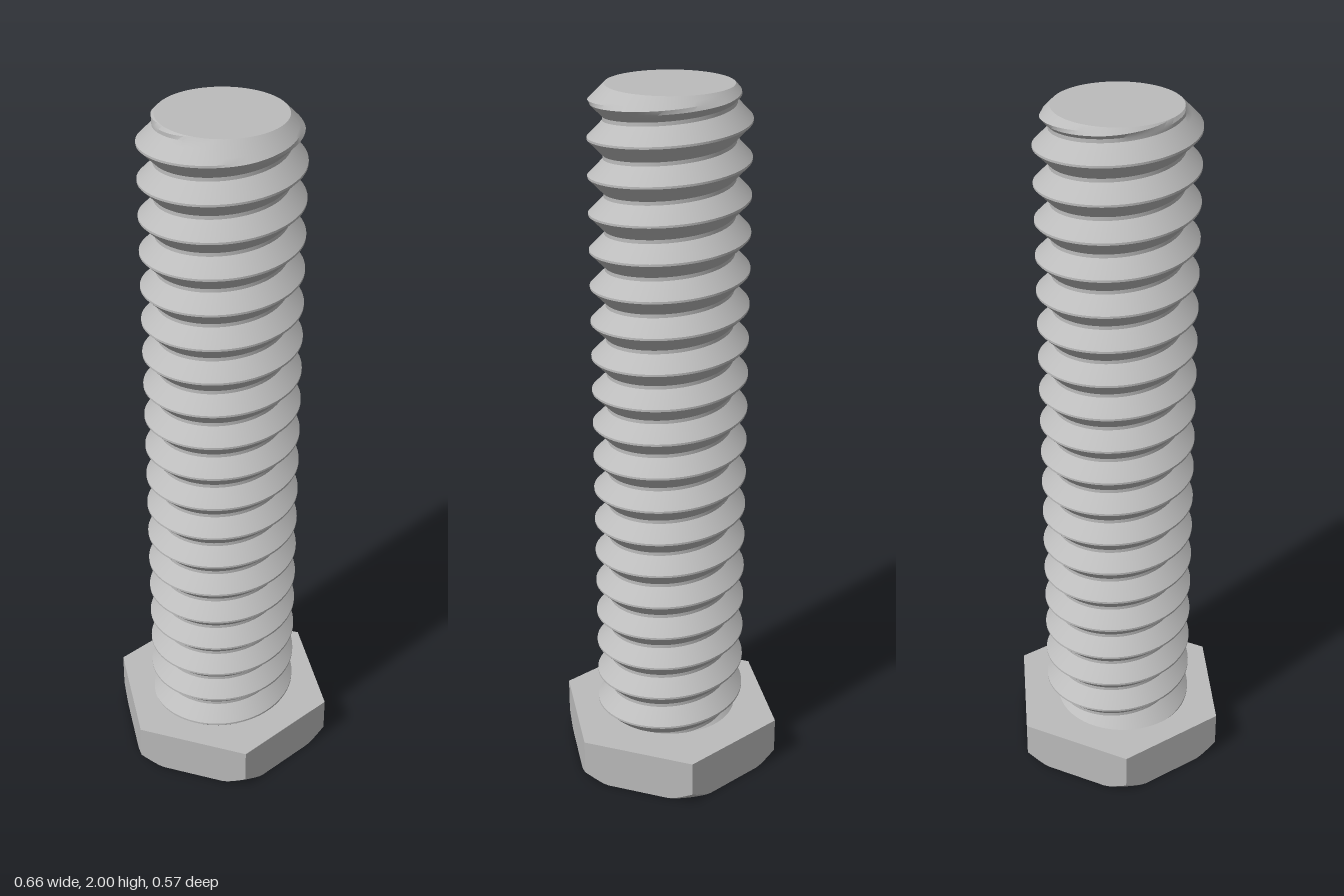
import * as THREE from 'three';
import { toCreasedNormals } from 'three/addons/utils/BufferGeometryUtils.js';

const TAU = Math.PI * 2;

// Surface through rings stacked upwards; point(row, angle) gives [radius, y]
function loft(rows, segments, point, crease) {
  const pos = [], index = [];
  for (let i = 0; i < rows; i++) {
    for (let j = 0; j <= segments; j++) {
      const a = (j / segments) * TAU;
      const [r, y] = point(i, a);
      // wrap the seam exactly
      const b = j === segments ? 0 : a;
      pos.push(r * Math.sin(b), y, r * Math.cos(b));
    }
  }
  const w = segments + 1;
  for (let i = 0; i < rows - 1; i++) {
    for (let j = 0; j < segments; j++) {
      const a = i * w + j, b = a + 1, c = a + w, d = c + 1;
      index.push(a, b, d, a, d, c);
    }
  }
  const g = new THREE.BufferGeometry();
  g.setAttribute('position', new THREE.Float32BufferAttribute(pos, 3));
  g.setIndex(index);
  return toCreasedNormals(g, crease);
}

// Hexagonal head, corners on the x axis, lower corners turned off by a cone
function headGeometry() {
  const apothem = 0.286, height = 0.135, faceRadius = 0.303;
  return loft(5, 120, (i, a) => {
    const local = ((a + Math.PI / 6) % (Math.PI / 3)) - Math.PI / 6;
    const hex = apothem / Math.cos(local);
    const cut = Math.max(0, hex - faceRadius) * 1.1;
    return [
      [0, 0],
      [Math.min(hex, faceRadius), 0],
      [hex, cut],
      [hex, height],
      [0, height],
    ][i];
  }, 0.3);
}

// Right-handed thread whose rows follow the helix, chamfered at the tip
function threadGeometry() {
  const pitch = 0.1, root = 0.174, crest = 0.215;
  const bottom = 0.13, top = 2, tip = 0.168, firstCrest = 1.963;
  const flat = 0.003, half = 0.045;
  const offsets = [-0.045, -0.034, -0.024, -0.013, -0.003, 0.003, 0.013, 0.024, 0.034, 0.045];
  const n = offsets.length, turns = 22;

  return loft(n * turns, 72, (i, a) => {
    const turn = Math.floor(i / n) - 20;
    const crestY = firstCrest + pitch * (turn + a / TAU);
    const y = THREE.MathUtils.clamp(crestY + offsets[i % n], bottom, top);
    // distance to the nearest crest at this angle
    const t = (y - crestY) / pitch;
    const d = Math.abs(t - Math.round(t)) * pitch;
    const k = THREE.MathUtils.clamp((half - d) / (half - flat), 0, 1);
    const r = root + (crest - root) * k;
    return [Math.min(r, tip + top - y), y];
  }, 0.5);
}

export function createModel() {
  const steel = new THREE.MeshStandardMaterial({ color: 0xbcbcbc });
  steel.name = 'steel grey';

  const model = new THREE.Group();
  model.name = 'hexBolt';
  const add = (name, geometry) => {
    const mesh = new THREE.Mesh(geometry, steel);
    mesh.name = name;
    model.add(mesh);
    return mesh;
  };

  add('hexHead', headGeometry());
  add('threadedShank', threadGeometry());

  // Flat end of the shank
  const end = add('shankEnd', new THREE.CircleGeometry(0.168, 72));
  end.rotation.x = -Math.PI / 2;
  end.position.y = 2;

  return model;
}
